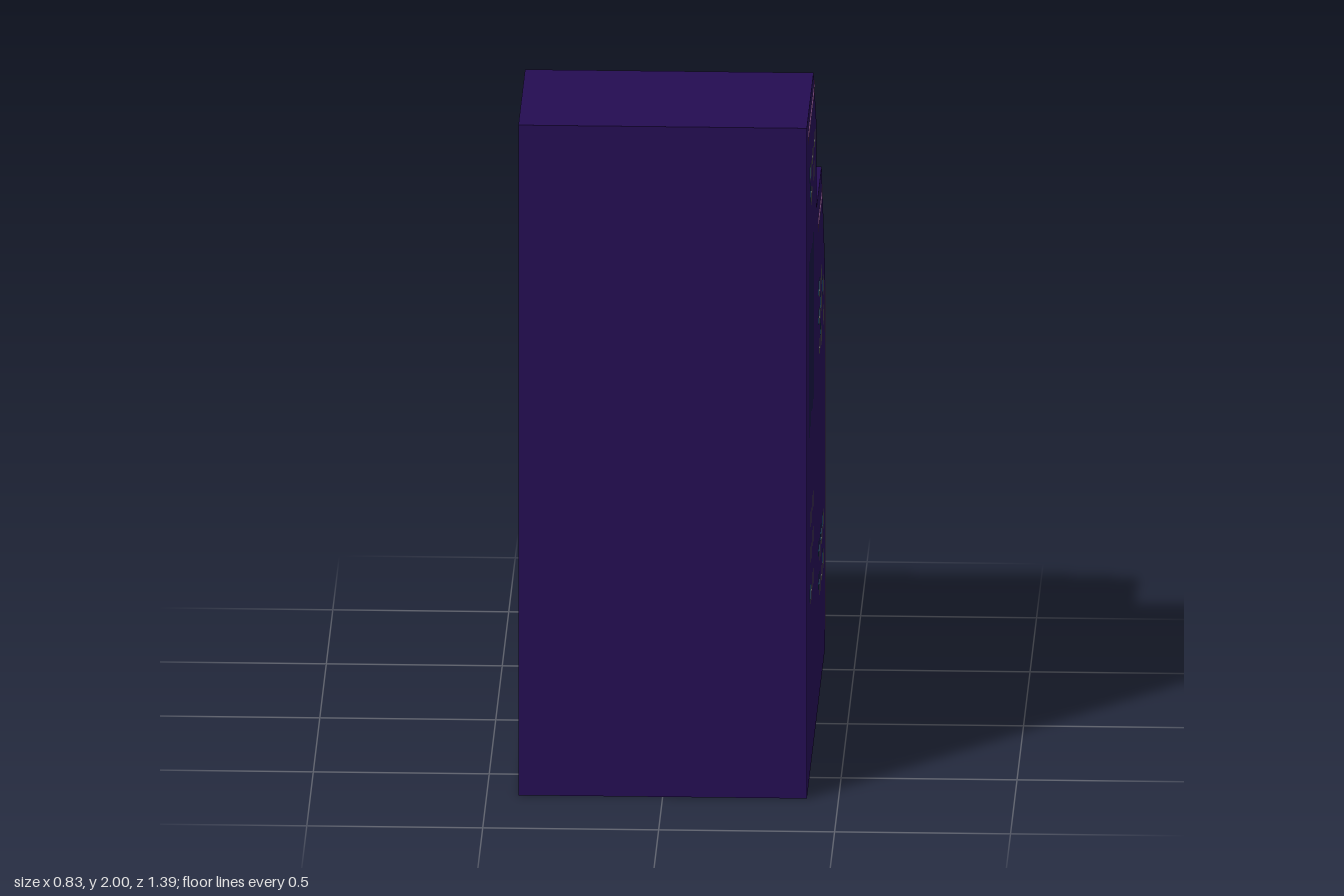
import * as THREE from 'three';

const HALF_WIDTH = 0.41;

function material(name, color) {
  const m = new THREE.MeshStandardMaterial({ color });
  m.name = name;
  return m;
}

// Side outlines are drawn as (u, y) with u = -z, then turned to face +x.
function sideShape(points) {
  return new THREE.Shape(points.map(([u, y]) => new THREE.Vector2(u, y)));
}

function plate(name, shape, mat, lift) {
  const geo = new THREE.ShapeGeometry(shape, 6);
  geo.rotateY(Math.PI / 2).translate(HALF_WIDTH + lift, 0, 0);
  const mesh = new THREE.Mesh(geo, mat);
  mesh.name = name;
  return mesh;
}

// Round-ended stripe between two points
function stripe(u0, y0, u1, y1, width) {
  const r = width / 2;
  const a = Math.atan2(y1 - y0, u1 - u0);
  const s = new THREE.Shape();
  const dx = Math.cos(a) * r, dy = Math.sin(a) * r;
  s.absarc(u1 - dx, y1 - dy, r, a - Math.PI / 2, a + Math.PI / 2, false);
  s.absarc(u0 + dx, y0 + dy, r, a + Math.PI / 2, a + Math.PI * 1.5, false);
  s.closePath();
  return s;
}

// Small window with clipped corners
function windowShape(u, y, w = 0.092, h = 0.047) {
  const a = w / 2, b = h / 2, c = 0.016;
  return sideShape([
    [u - a, y - b + c], [u - a + c, y - b], [u + a - c, y - b], [u + a, y - b + c],
    [u + a, y + b - c], [u + a - c, y + b], [u - a + c, y + b], [u - a, y + b - c],
  ]);
}

export function createModel() {
  const group = new THREE.Group();
  group.name = 'steppedTower';
  const indigo = material('indigo', 0x240d52);
  const white = material('windowWhite', 0xcfcfcf);
  const blue = material('stripeBlue', 0x2f669f);
  const purple = material('trimPurple', 0xa566b2);

  // Solid stepped body with two sloped shoulders
  const bodyGeo = new THREE.ExtrudeGeometry(sideShape([
    [-0.695, 0], [0.695, 0], [0.695, 1.145], [0.44, 1.52],
    [0.06, 1.52], [0.06, 1.76], [-0.18, 2], [-0.695, 2],
  ]), { depth: HALF_WIDTH * 2, bevelEnabled: false });
  bodyGeo.rotateY(Math.PI / 2).translate(-HALF_WIDTH, 0, 0);
  const body = new THREE.Mesh(bodyGeo, indigo);
  body.name = 'towerBody';
  group.add(body);

  // Purple trim along the two roofs and the rear edge
  [
    ['upperRoofTrim', -0.685, 1.965, -0.17, 1.965, 0.045],
    ['lowerRoofTrim', 0.08, 1.457, 0.43, 1.457, 0.045],
    ['rearEdgeTrim', 0.618, 1.125, 0.64, 0.075, 0.05],
  ].forEach(([name, ...s]) => group.add(plate(name, stripe(...s), purple, 0.003)));

  // Tall blue window strips
  [-0.565, -0.475, -0.382, -0.29].forEach((u, i) => {
    const bottom = 1.03 + i * 0.01;
    group.add(plate('blueStrip', stripe(u, bottom, u, 1.56, i ? 0.047 : 0.053), blue, 0.003));
  });

  // Small windows; an optional offset shows a sliver of blue behind
  const windows = [
    [-0.545, 1.825, 0, -0.01], [-0.405, 1.825], [-0.25, 1.825],
    [-0.49, 1.737, 0, 0.009], [-0.315, 1.75],
    [-0.535, 0.79], [-0.39, 0.79], [-0.54, 0.685], [-0.39, 0.685],
    [-0.53, 0.56, 0.007, 0], [-0.39, 0.56],
    [0.135, 1.255, 0.006, 0], [0.275, 1.255],
    [0.135, 1.175, 0.005, -0.006], [0.275, 1.175, 0, -0.006], [0.415, 1.175, 0, -0.005],
    [0.135, 1.085], [0.275, 1.073, 0, 0.018], [0.415, 1.085],
    [0.14, 0.468, 0, 0.01], [0.29, 0.468, 0, 0.009], [0.42, 0.477, 0, -0.01],
    [0.14, 0.365, 0, 0.014], [0.29, 0.358], [0.425, 0.358, 0.006, 0],
  ];
  windows.forEach(([u, y, du = 0, dy = 0]) => {
    if (du || dy) group.add(plate('windowShade', windowShape(u + du, y + dy), blue, 0.003));
    group.add(plate('window', windowShape(u, y), white, 0.006));
  });

  return group;
}
